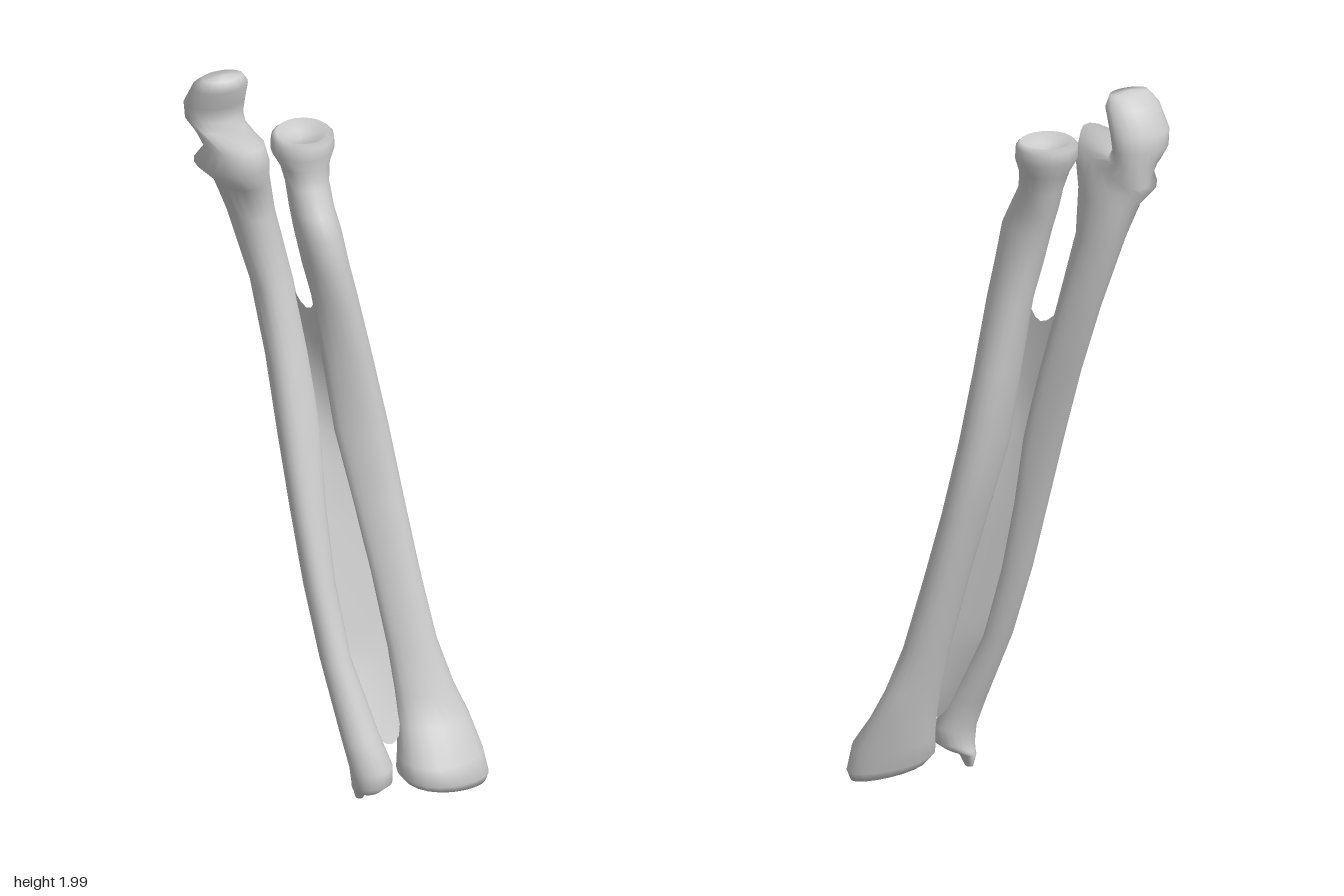
import * as THREE from 'three';

const SIDES = 20;

// Cross-sections from top to bottom:
// [y, xMin, xMax, zMin, zMax, pinch along x, slope of y along x, slope of y along z]
const RADIUS = [
  [1.83, -0.058, -0.058, -0.12, -0.12],
  [1.835, -0.1, -0.015, -0.16, -0.08],
  [1.857, -0.128, 0.012, -0.185, -0.053],
  [1.845, -0.141, 0.024, -0.197, -0.041],
  [1.81, -0.143, 0.025, -0.195, -0.038],
  [1.77, -0.122, 0.01, -0.175, -0.045],
  [1.72, -0.111, 0.003, -0.158, -0.033],
  [1.66, -0.108, 0.006, -0.145, 0.008],
  [1.6, -0.103, 0.018, -0.125, 0.036],
  [1.5, -0.085, 0.036, -0.105, 0.038],
  [1.4, -0.062, 0.058, -0.092, 0.033, 0.15],
  [1.2, -0.035, 0.1, -0.072, 0.025, 0.3],
  [1.0, -0.008, 0.138, -0.055, 0.035, 0.35],
  [0.8, 0.03, 0.166, -0.01, 0.07, 0.35],
  [0.6, 0.063, 0.193, 0.037, 0.122, 0.3],
  [0.4, 0.09, 0.226, 0.085, 0.175, 0.15],
  [0.28, 0.098, 0.26, 0.115, 0.215],
  [0.2, 0.1, 0.292, 0.13, 0.25, -0.1],
  [0.12, 0.085, 0.315, 0.15, 0.325, -0.2, -0.05],
  [0.065, 0.08, 0.328, 0.16, 0.33, -0.25, -0.15],
  [0.042, 0.095, 0.318, 0.175, 0.318, -0.25, -0.18],
  [0.06, 0.13, 0.28, 0.2, 0.295, -0.2, -0.15],
  [0.065, 0.2, 0.2, 0.25, 0.25],
];

const ULNA = [
  [2.0, -0.24, -0.24, -0.23, -0.23],
  [1.995, -0.295, -0.185, -0.26, -0.2],
  [1.965, -0.318, -0.168, -0.295, -0.19],
  [1.9, -0.33, -0.164, -0.33, -0.222],
  [1.855, -0.325, -0.168, -0.332, -0.228],
  [1.825, -0.305, -0.166, -0.328, -0.205, 0, 0, 0.15],
  [1.805, -0.29, -0.15, -0.324, -0.06, 0, 0.1, 0.38],
  [1.765, -0.325, -0.138, -0.318, -0.042, 0, 0, 0.22],
  [1.71, -0.275, -0.13, -0.303, -0.09, 0, 0, 0.1],
  [1.6, -0.236, -0.112, -0.274, -0.125],
  [1.4, -0.186, -0.074, -0.216, -0.095, -0.25],
  [1.2, -0.165, -0.05, -0.142, -0.05, -0.35],
  [1.0, -0.155, -0.04, -0.072, 0.012, -0.35],
  [0.8, -0.14, -0.044, -0.012, 0.065, -0.3],
  [0.6, -0.122, -0.038, 0.04, 0.125, -0.2],
  [0.4, -0.096, -0.015, 0.095, 0.18],
  [0.2, -0.066, 0.036, 0.175, 0.265],
  [0.12, -0.052, 0.062, 0.198, 0.3],
  [0.075, -0.046, 0.062, 0.198, 0.298],
  [0.055, -0.042, 0.035, 0.195, 0.285],
  [0.045, -0.035, 0.008, 0.19, 0.25],
  [0.012, -0.025, -0.005, 0.2, 0.225],
  [0.008, -0.015, -0.015, 0.212, 0.212],
];

function grid(rows, cols, wrap, point) {
  const pos = [], index = [];
  for (let i = 0; i < rows; i++)
    for (let j = 0; j < cols; j++) pos.push(...point(i, j));
  for (let i = 0; i < rows - 1; i++)
    for (let j = 0; j < (wrap ? cols : cols - 1); j++) {
      const a = i * cols + j, b = i * cols + (j + 1) % cols;
      index.push(a, b, a + cols, b, b + cols, a + cols);
    }
  const g = new THREE.BufferGeometry();
  g.setAttribute('position', new THREE.Float32BufferAttribute(pos, 3));
  g.setIndex(index);
  g.computeVertexNormals();
  return g;
}

// Closed bone skinned over its cross-sections
function boneGeometry(rings) {
  return grid(rings.length, SIDES, true, (i, j) => {
    const [y, x0, x1, z0, z1, pinch = 0, sx = 0, sz = 0] = rings[i];
    const a = (j / SIDES) * Math.PI * 2;
    const dx = Math.cos(a) * (x1 - x0) / 2;
    const dz = Math.sin(a) * (1 + pinch * Math.cos(a)) * (z1 - z0) / 2;
    return [(x0 + x1) / 2 + dx, y + sx * dx + sz * dz, (z0 + z1) / 2 + dz];
  });
}

// Point on a shaft's inner border at height y (column 1 = low x side, 2 = high x side)
function border(rings, y, column) {
  const i = rings.findIndex((r, k) => k > 7 && r[0] <= y);
  const a = rings[i - 1], b = rings[i];
  const t = (a[0] - y) / (a[0] - b[0]);
  const mix = k => a[k] + (b[k] - a[k]) * t;
  const inset = column === 1 ? 0.015 : -0.015;
  return [mix(column) + inset, (mix(3) + mix(4)) / 2];
}

// Thin sheet stretched between the two shafts
function membraneGeometry() {
  const rows = 25, cols = 7;
  return grid(rows, cols, false, (i, j) => {
    const u = j / (cols - 1), v = i / (rows - 1);
    const arch = Math.sin(Math.PI * u);
    const y = THREE.MathUtils.lerp(1.4 - 0.06 * arch, 0.19 - 0.03 * arch, v);
    const [ux, uz] = border(ULNA, y, 2);
    const [rx, rz] = border(RADIUS, y, 1);
    return [ux + (rx - ux) * u, y, uz + (rz - uz) * u];
  });
}

export function createModel() {
  const group = new THREE.Group();
  group.name = 'forearmBones';
  const bone = new THREE.MeshStandardMaterial({ color: 0xcccccc });
  const sheet = new THREE.MeshStandardMaterial({ color: 0xcccccc, side: THREE.DoubleSide });
  const add = (name, geometry, material) => {
    const mesh = new THREE.Mesh(geometry, material);
    mesh.name = name;
    group.add(mesh);
  };
  add('radius', boneGeometry(RADIUS), bone);
  add('ulna', boneGeometry(ULNA), bone);
  add('interosseousMembrane', membraneGeometry(), sheet);
  return group;
}
